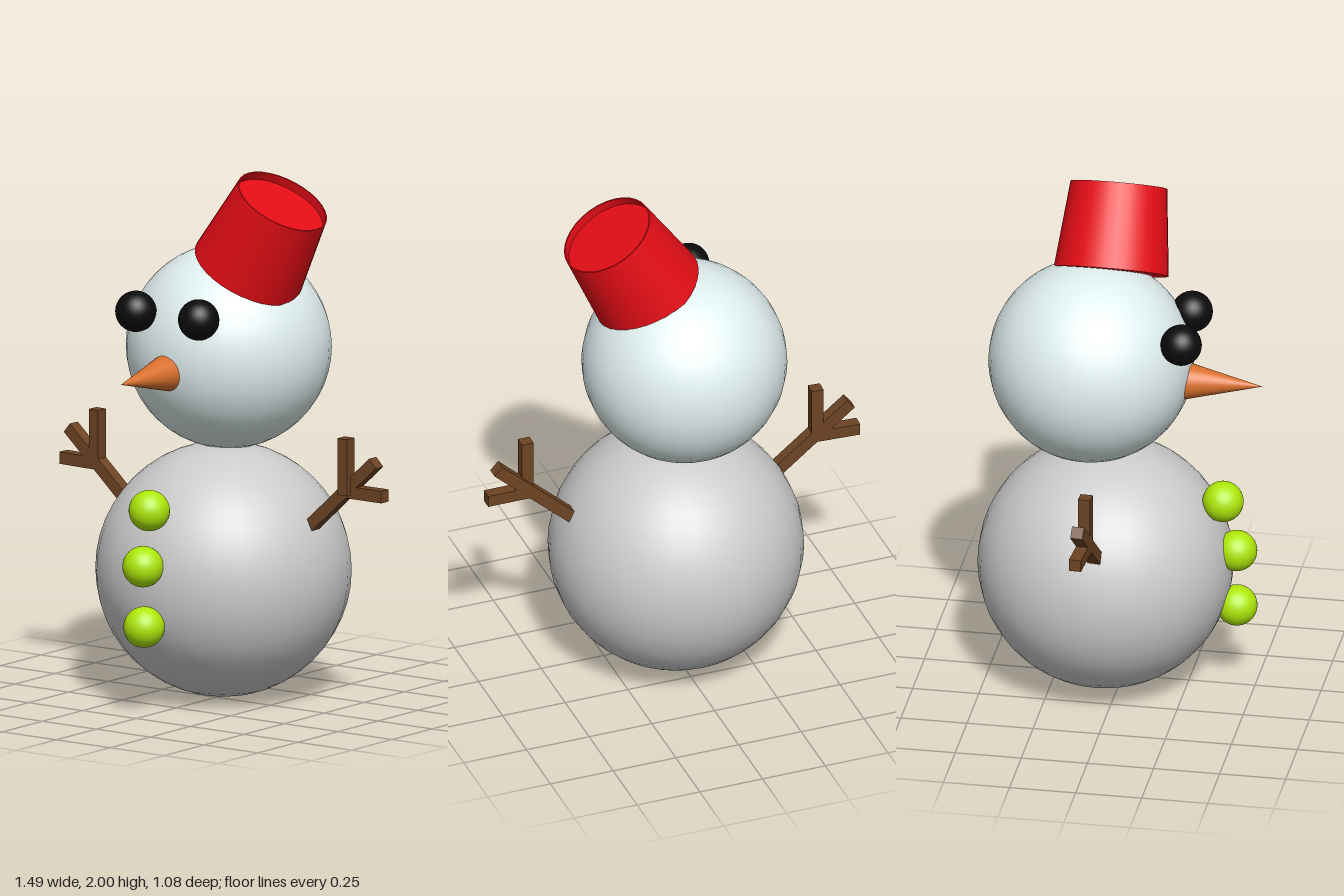
import * as THREE from 'three';

const paint = (color) => new THREE.MeshStandardMaterial({ color });

export function createModel() {
  const model = new THREE.Group();
  const coal = paint(0x0b0b0b), lime = paint(0xaee80a), wood = paint(0x6e4424);

  const add = (name, geometry, material, x = 0, y = 0, z = 0, parent = model) => {
    const mesh = new THREE.Mesh(geometry, material);
    mesh.name = name;
    mesh.position.set(x, y, z);
    parent.add(mesh);
    return mesh;
  };
  const ball = (name, r, material, x, y, z) =>
    add(name, new THREE.SphereGeometry(r, 32, 24), material, x, y, z);

  // Snowballs
  ball('body', 0.478, paint(0xcccccc), -0.013, 0.48, -0.062);
  ball('head', 0.384, paint(0xe0eeee), -0.027, 1.317, -0.114);

  // Face
  ball('rightEye', 0.077, coal, -0.185, 1.487, 0.254);
  ball('leftEye', 0.077, coal, 0.1, 1.487, 0.245);
  const nose = add('nose', new THREE.ConeGeometry(0.073, 0.3, 32), paint(0xd9702c), -0.044, 1.27, 0.387);
  nose.rotation.x = Math.PI / 2;

  // Buttons
  [[-0.026, 0.77, 0.384], [-0.018, 0.566, 0.434], [-0.013, 0.337, 0.434]].forEach(
    ([x, y, z], i) => ball(`button${i + 1}`, 0.077, lime, x, y, z));

  // Bucket hat: tapered wall, slightly recessed top, flat underside
  const outline = [[0, 0], [0.215, 0], [0.215, 0], [0.181, 0.325], [0.181, 0.325],
    [0.176, 0.325], [0.176, 0.325], [0.179, 0.29], [0.179, 0.29], [0, 0.29]];
  const hat = add('hat', new THREE.LatheGeometry(outline.map(([r, y]) => new THREE.Vector2(r, y)), 32),
    paint(0xe50d16), 0.099, 1.626, -0.061);
  hat.material.side = THREE.DoubleSide;
  hat.rotation.z = -Math.PI / 6;

  // Square stick between two points in the xy plane
  const stick = (name, parent, [x1, y1], [x2, y2], z) => {
    const length = Math.hypot(x2 - x1, y2 - y1);
    const mesh = add(name, new THREE.BoxGeometry(length, 0.046, 0.046), wood,
      (x1 + x2) / 2, (y1 + y2) / 2, z, parent);
    mesh.rotation.z = Math.atan2(y2 - y1, x2 - x1);
  };

  // Twig arms: a straight limb with an upright and a sideways finger
  const arm = (name, start, fork, tip, up, out, z, zUp, turn) => {
    const group = new THREE.Group();
    group.name = name;
    group.position.set(fork[0], 0, z);
    group.rotation.y = turn;
    model.add(group);
    const local = ([x, y]) => [x - fork[0], y];
    stick('limb', group, local(start), local(tip), 0);
    stick('uprightFinger', group, local([up[0], fork[1] - 0.01]), local(up), zUp);
    stick('sideFinger', group, local([fork[0], out[1]]), local(out), 0);
  };
  arm('leftArm', [0.4, 0.693], [0.575, 0.845], [0.7, 0.968], [0.575, 1.05], [0.741, 0.845], -0.055, 0.02, 0);
  arm('rightArm', [-0.42, 0.69], [-0.58, 0.825], [-0.71, 0.937], [-0.58, 1.022], [-0.746, 0.818], -0.038, 0, -0.06);

  return model;
}
